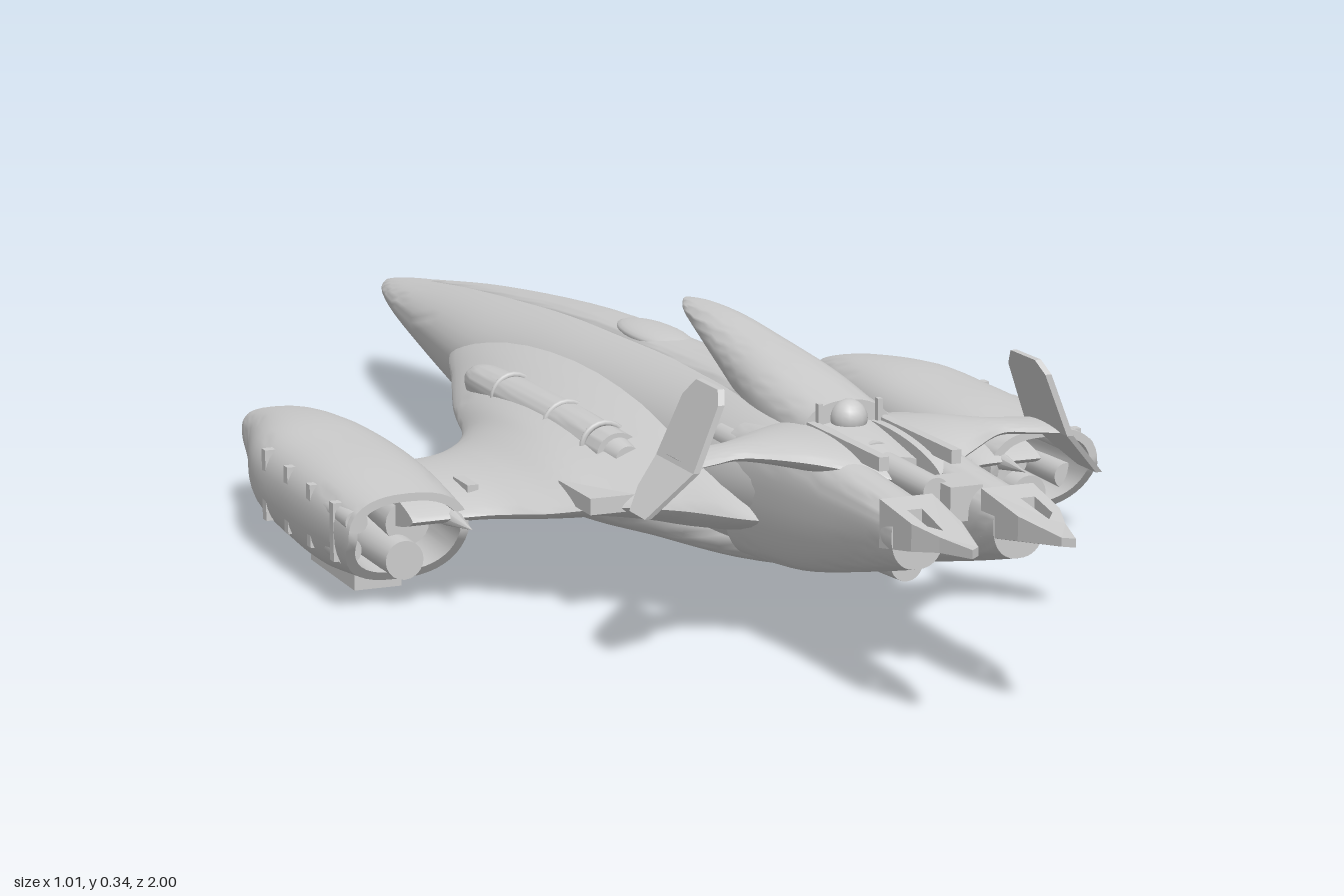
import * as THREE from 'three';
import { toCreasedNormals, mergeVertices } from 'three/addons/utils/BufferGeometryUtils.js';

const mat = new THREE.MeshStandardMaterial({ color: 0xcccccc, side: THREE.DoubleSide });
const spow = (v, e) => Math.sign(v) * Math.abs(v) ** e;

// Catmull-Rom interpolation between rows of numbers
function refine(rows, n = 5) {
  const out = [];
  for (let i = 0; i < rows.length - 1; i++) {
    const a = rows[Math.max(i - 1, 0)], b = rows[i], c = rows[i + 1], d = rows[Math.min(i + 2, rows.length - 1)];
    for (let k = 0; k < n; k++) {
      const t = k / n;
      out.push(b.map((v, j) => v + 0.5 * t * (c[j] - a[j] + t * (2 * a[j] - 5 * v + 4 * c[j] - d[j] + t * (3 * (v - c[j]) + d[j] - a[j])))));
    }
  }
  out.push(rows[rows.length - 1]);
  return out;
}

// Skin closed rings of [x, y, z] and cap both ends
function loft(rings, crease = 0.7) {
  const m = rings[0].length, pos = rings.flat(2), idx = [];
  for (let i = 0; i < rings.length - 1; i++) for (let j = 0; j < m; j++) {
    const a = i * m + j, b = i * m + (j + 1) % m;
    idx.push(a, b, a + m, b, b + m, a + m);
  }
  for (const [r, base, flip] of [[rings[0], 0, true], [rings[rings.length - 1], (rings.length - 1) * m, false]]) {
    const c = pos.length / 3;
    pos.push(...[0, 1, 2].map(k => r.reduce((s, p) => s + p[k], 0) / m));
    for (let j = 0; j < m; j++) {
      const a = base + j, b = base + (j + 1) % m;
      idx.push(c, flip ? b : a, flip ? a : b);
    }
  }
  const g = new THREE.BufferGeometry();
  g.setAttribute('position', new THREE.Float32BufferAttribute(pos, 3));
  g.setIndex(idx);
  return toCreasedNormals(g, crease);
}

// Hull ring from a row [z, halfWidth, top, middle, bottom, centreX]
const hullRing = (e, m = 40) => ([z, w, top, mid, bot, cx = 0]) => Array.from({ length: m }, (_, j) => {
  const a = j / m * Math.PI * 2, s = Math.sin(a);
  return [cx + w * spow(Math.cos(a), e), mid + spow(s, e) * (s > 0 ? top - mid : mid - bot), z];
});
const hull = (rows, e = 1) => loft(refine(rows).map(hullRing(e)));

// Wing section from a row [x, zFront, zBack, y, halfThickness]
const wing = rows => loft(refine(rows).map(([x, f, b, y, h]) => Array.from({ length: 40 }, (_, j) => {
  const a = j / 40 * Math.PI * 2;
  return [x, y + h * spow(Math.cos(a), 1.4), (f + b) / 2 + (b - f) / 2 * Math.sin(a)];
})));

const rod = (r1, r2, z0, z1, x, y) => // tube running along z, r1 at z1
  new THREE.CylinderGeometry(r1, r2, z1 - z0, 20).rotateX(Math.PI / 2).translate(x, y, (z0 + z1) / 2);
const box = (w, h, d, x, y, z) => new THREE.BoxGeometry(w, h, d).translate(x, y, z);
const outline = pts => new THREE.Shape(pts.map(p => new THREE.Vector2(...p)));

function mirrored(g) {
  const c = g.index ? g.toNonIndexed() : g.clone();
  c.scale(-1, 1, 1);
  for (const at of Object.values(c.attributes)) {
    const n = at.itemSize, v = at.array;
    for (let i = 0; i < v.length; i += 3 * n) for (let k = 0; k < n; k++)
      [v[i + n + k], v[i + 2 * n + k]] = [v[i + 2 * n + k], v[i + n + k]];
  }
  return c;
}

// Thin canted fin panel: side outline (z, y) leaning by x = lean(y)
function finPanel(pts, lean) {
  const g = new THREE.ExtrudeGeometry(outline(pts), { depth: 0.008, bevelEnabled: false }).rotateY(-Math.PI / 2);
  const p = g.attributes.position;
  for (let i = 0; i < p.count; i++) p.setX(i, p.getX(i) + 0.004 + lean(p.getY(i)));
  g.computeVertexNormals();
  return g;
}

// Engine pod: hollow at the rear, lower lip cut back
function podShell() {
  const rows = refine([
    [-0.35, 0.015, 0.118, 0.108, 0.098, 0.41], [-0.335, 0.032, 0.132, 0.106, 0.083, 0.41],
    [-0.24, 0.058, 0.153, 0.1, 0.058, 0.408], [-0.12, 0.083, 0.165, 0.1, 0.034, 0.417],
    [0, 0.088, 0.165, 0.1, 0.022, 0.417], [0.12, 0.085, 0.162, 0.1, 0.021, 0.42],
    [0.25, 0.076, 0.152, 0.1, 0.035, 0.425]]);
  rows.push([0.25, 0.065, 0.142, 0.1, 0.046, 0.425], [0.08, 0.06, 0.138, 0.1, 0.05, 0.42]);
  const rings = rows.map(hullRing(0.8));
  for (const r of rings) for (const p of r) if (p[2] > 0 && p[1] < 0.1) p[2] *= 1 - 3 * (0.1 - p[1]);
  return loft(rings);
}

export function createModel() {
  const root = new THREE.Group();
  const add = (name, g) => {
    const mesh = new THREE.Mesh(g, mat);
    mesh.name = name;
    root.add(mesh);
  };
  const pair = (name, g) => { add('left' + name, g); add('right' + name, mirrored(g)); };

  // Long needle fuselage, nose towards -z
  add('fuselage', hull([
    [-1, 0.003, 0.151, 0.147, 0.144], [-0.96, 0.024, 0.16, 0.148, 0.135], [-0.9, 0.042, 0.17, 0.149, 0.124],
    [-0.8, 0.062, 0.184, 0.15, 0.108], [-0.6, 0.092, 0.212, 0.152, 0.078], [-0.4, 0.116, 0.234, 0.154, 0.052],
    [-0.2, 0.12, 0.252, 0.155, 0.04], [0, 0.12, 0.261, 0.16, 0.04], [0.2, 0.12, 0.268, 0.165, 0.055],
    [0.4, 0.12, 0.275, 0.175, 0.072], [0.55, 0.105, 0.27, 0.19, 0.095], [0.68, 0.075, 0.25, 0.2, 0.13]]));
  // Broad belly under the centre section
  add('belly', hull([
    [-0.5, 0.02, 0.09, 0.08, 0.068], [-0.38, 0.075, 0.1, 0.06, 0.04], [-0.25, 0.11, 0.12, 0.06, 0.013],
    [-0.13, 0.122, 0.13, 0.06, 0.005], [0.02, 0.122, 0.13, 0.07, 0.018], [0.2, 0.115, 0.13, 0.08, 0.045],
    [0.4, 0.09, 0.13, 0.095, 0.066], [0.56, 0.05, 0.14, 0.12, 0.09]], 0.85));
  // Spine ridge and recessed-looking deck plate
  add('spine', hull([[-0.8, 0.008, 0.186, 0.175, 0.17], [-0.55, 0.026, 0.222, 0.205, 0.19],
    [-0.2, 0.035, 0.257, 0.24, 0.22], [0.15, 0.042, 0.27, 0.25, 0.23], [0.4, 0.06, 0.28, 0.25, 0.2]], 0.8));
  add('deckPlate', new THREE.SphereGeometry(1, 24, 12).scale(0.034, 0.012, 0.1).translate(0, 0.26, 0));
  // Raised cabin overhanging forwards
  add('cabin', hull([
    [0.1, 0.006, 0.328, 0.324, 0.32], [0.14, 0.022, 0.331, 0.321, 0.31], [0.22, 0.035, 0.331, 0.308, 0.285],
    [0.32, 0.048, 0.323, 0.285, 0.255], [0.44, 0.06, 0.31, 0.265, 0.2], [0.56, 0.058, 0.292, 0.25, 0.18]], 0.9));
  // Window frame and seat at the rear of the cabin
  for (const x of [-0.038, 0, 0.038]) add('windowBar', box(0.006, 0.06, 0.008, x, 0.262, 0.566));
  add('windowSill', box(0.1, 0.012, 0.03, 0, 0.232, 0.57));
  add('observerDome', new THREE.SphereGeometry(0.022, 16, 12).translate(0, 0.272, 0.565));

  // Swept blended wing with strake
  pair('Wing', wing([
    [0.03, -0.62, 0.6, 0.155, 0.075], [0.11, -0.45, 0.54, 0.155, 0.068], [0.16, -0.31, 0.46, 0.152, 0.058],
    [0.21, -0.17, 0.39, 0.145, 0.046], [0.24, -0.06, 0.36, 0.138, 0.038], [0.28, -0.02, 0.32, 0.128, 0.028],
    [0.33, -0.02, 0.27, 0.12, 0.024], [0.42, -0.05, 0.25, 0.115, 0.024]]));
  // Shoulder tubes, ports and trailing edge spikes
  pair('ShoulderTube', hull([[-0.19, 0.012, 0.19, 0.18, 0.16, 0.168], [-0.15, 0.026, 0.205, 0.185, 0.15, 0.17],
    [0.1, 0.03, 0.212, 0.185, 0.15, 0.17], [0.28, 0.028, 0.208, 0.182, 0.15, 0.168]]));
  for (const [z, r] of [[-0.06, 0.033], [0.12, 0.035], [0.24, 0.034]])
    pair('TubeCollar', new THREE.TorusGeometry(r - 0.005, 0.004, 8, 24).translate(0.17, 0.183, z));
  pair('TubeNozzle', rod(0.016, 0.022, 0.27, 0.31, 0.168, 0.182));
  pair('WingPort', box(0.014, 0.012, 0.05, 0.33, 0.139, 0.19));
  pair('WingSpike', new THREE.ConeGeometry(0.015, 0.09, 8).rotateX(Math.PI / 2).translate(0.367, 0.115, 0.265));
  pair('WingVent', box(0.06, 0.02, 0.1, 0.22, 0.15, 0.34));

  // Engine pods with machinery in the rear bay and along the outer side
  pair('Pod', podShell());
  pair('PodThruster', rod(0.028, 0.02, 0.06, 0.19, 0.405, 0.1));
  pair('PodLowerThruster', rod(0.024, 0.03, 0.02, 0.22, 0.42, 0.062));
  pair('PodOuterPipe', rod(0.014, 0.014, -0.06, 0.24, 0.487, 0.12));
  pair('PodOuterLowerPipe', rod(0.017, 0.017, -0.04, 0.2, 0.484, 0.075));
  for (let i = 0; i < 4; i++) pair('PodRib', box(0.014, 0.09 - i * 0.006, 0.014, 0.496, 0.1, -0.06 + i * 0.085));
  pair('PodKeel', box(0.06, 0.02, 0.16, 0.44, 0.03, 0.1));

  // Tailplane and kinked fins
  pair('Tailplane', wing([[0.03, 0.44, 0.74, 0.24, 0.026], [0.1, 0.52, 0.69, 0.253, 0.018],
    [0.16, 0.565, 0.64, 0.255, 0.009], [0.2, 0.56, 0.64, 0.252, 0.007], [0.237, 0.56, 0.65, 0.25, 0.006]]));
  pair('UpperFin', finPanel([[0.56, 0.25], [0.665, 0.25], [0.665, 0.325], [0.65, 0.34], [0.59, 0.34], [0.57, 0.32]],
    y => 0.235 - (y - 0.25) * 0.4));
  pair('LowerFin', finPanel([[0.6, 0.198], [0.645, 0.198], [0.665, 0.25], [0.56, 0.25], [0.575, 0.22]],
    y => 0.235 + (0.25 - y) * 0.96));

  // Twin tail booms ending in pierced prongs
  pair('TailBoom', hull([[0.45, 0.04, 0.25, 0.19, 0.09, 0.07], [0.6, 0.04, 0.26, 0.2, 0.105, 0.064],
    [0.75, 0.035, 0.25, 0.205, 0.14, 0.06], [0.87, 0.032, 0.24, 0.212, 0.172, 0.062]], 0.85));
  const prong = outline([[0.03, 0.84], [0.094, 0.84], [0.09, 0.91], [0.076, 0.95], [0.062, 1], [0.05, 0.99], [0.034, 0.92]]);
  prong.holes.push(outline([[0.06, 0.875], [0.078, 0.875], [0.076, 0.92], [0.064, 0.935]]));
  const prongGeo = new THREE.ExtrudeGeometry(prong, { depth: 0.05, bevelEnabled: false }).rotateX(Math.PI / 2);
  const p = prongGeo.attributes.position;
  for (let i = 0; i < p.count; i++) { // taper towards the tip
    const t = THREE.MathUtils.clamp((1 - p.getZ(i)) / 0.16, 0.18, 1);
    p.setY(i, 0.22 + (p.getY(i) + 0.025) * t * 1.1);
  }
  prongGeo.computeVertexNormals();
  pair('TailProng', prongGeo);

  // Machinery between the booms
  add('tailBarrel', rod(0.016, 0.02, 0.52, 0.79, 0, 0.235));
  add('tailBarrelCollar', rod(0.024, 0.024, 0.6, 0.64, 0, 0.235));
  add('tailExhaust', rod(0.02, 0.028, 0.58, 0.72, 0, 0.135));
  add('tailBox', box(0.04, 0.04, 0.06, 0.025, 0.225, 0.785));
  pair('TailRail', box(0.012, 0.016, 0.26, 0.045, 0.262, 0.62));
  pair('TailTank', new THREE.CapsuleGeometry(0.016, 0.1, 6, 14).rotateX(Math.PI / 2).translate(0.088, 0.225, 0.46));

  return root;
}
